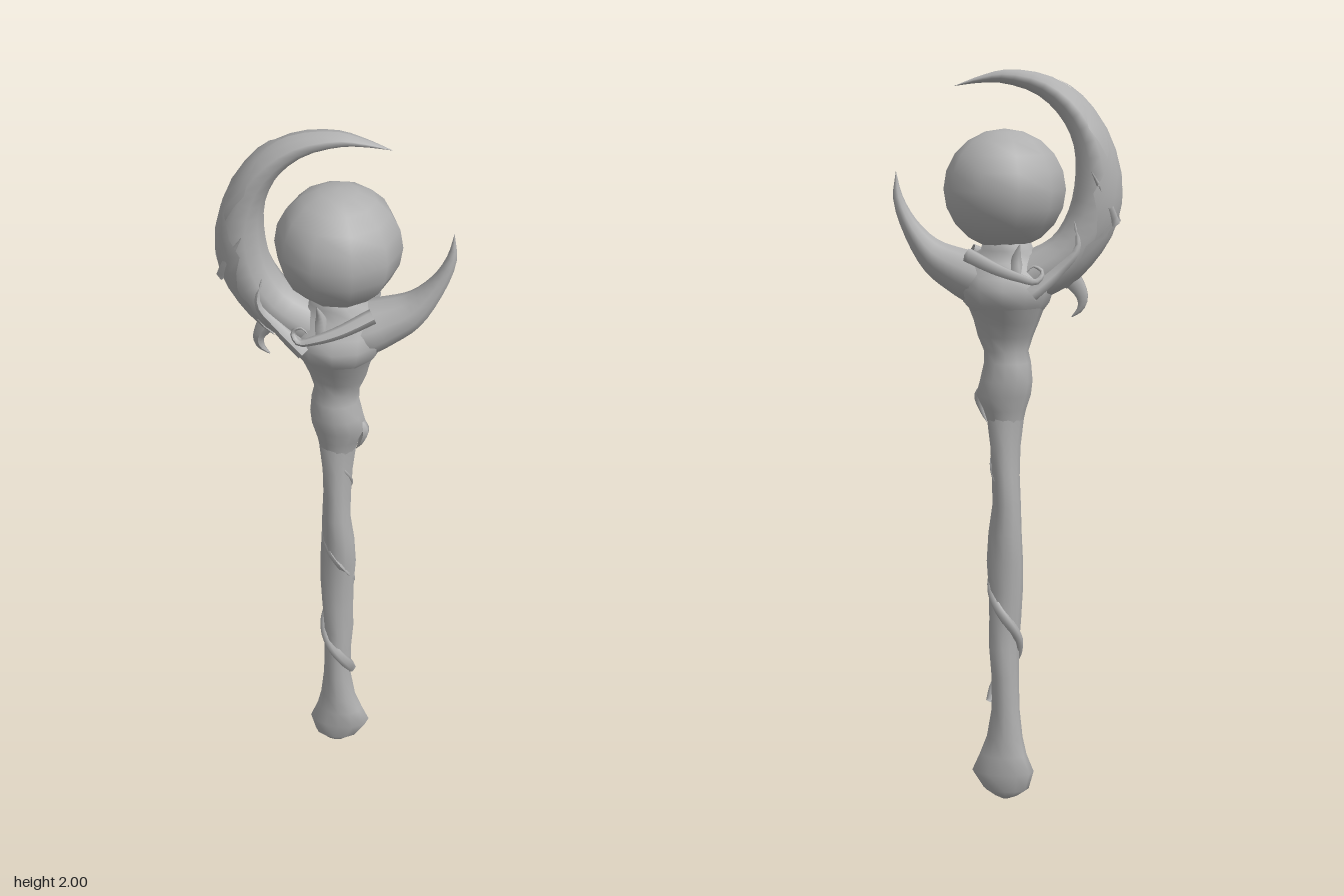
import * as THREE from 'three';

const V = (x, y, z = 0) => new THREE.Vector3(x, y, z);
const grey = new THREE.MeshStandardMaterial({ color: 0xb0b0b0, side: THREE.DoubleSide });
grey.name = 'stone grey';

function gridGeometry(rows, cols, point) {
  const pos = [], idx = [];
  for (let i = 0; i < rows; i++) {
    for (let j = 0; j < cols; j++) pos.push(...point(i, j).toArray());
  }
  for (let i = 0; i < rows - 1; i++) {
    for (let j = 0; j < cols - 1; j++) {
      const a = i * cols + j, b = a + cols;
      idx.push(a, a + 1, b, a + 1, b + 1, b);
    }
  }
  const g = new THREE.BufferGeometry();
  g.setAttribute('position', new THREE.Float32BufferAttribute(pos, 3));
  g.setIndex(idx);
  g.computeVertexNormals();
  return g;
}

// Horn cross-section frames between an outer and an inner edge; third number is half width in z
function hornFrames(outer, inner) {
  const o = new THREE.CatmullRomCurve3(outer.map(p => V(...p)));
  const n = new THREE.CatmullRomCurve3(inner.map(p => V(...p)));
  return t => {
    const a = o.getPoint(t), b = n.getPoint(t), w = Math.max(0, a.z);
    a.z = b.z = 0;
    return { c: a.clone().add(b).multiplyScalar(0.5), u: a.clone().sub(b).multiplyScalar(0.5), w };
  };
}

const onFrame = (f, angle, dir, k = 1) => f.c.clone()
  .addScaledVector(f.u, Math.cos(angle) * k)
  .add(V(0, 0, dir * f.w * Math.sin(angle) * k));

function hornGeometry(frame, dir, rows = 20, sides = 10) {
  return gridGeometry(rows + 1, sides + 1, (i, j) =>
    onFrame(frame(i / rows), (j % sides) / sides * Math.PI * 2, dir));
}

// Open pointed scale wrapped round the outer side of a horn
function scaleGeometry(frame, dir, t0, t1, spread, flare) {
  return gridGeometry(8, 9, (i, j) => {
    const s = i / 7, side = (j - 4) / 4;
    const half = spread * (s < 0.45 ? 0.55 + s : 1.82 * (1 - s));
    const k = 1.06 + flare * Math.abs(side) * Math.sin(s * Math.PI);
    return onFrame(frame(t0 + (t1 - t0) * s), side * half, dir, k);
  });
}

// Tube tapering to a point at its end
function taperedTube(points, radius, segments = 14, sides = 6) {
  const curve = new THREE.CatmullRomCurve3(points.map(p => V(...p)));
  const g = new THREE.TubeGeometry(curve, segments, radius, sides);
  const p = g.attributes.position;
  for (let i = 0; i <= segments; i++) {
    const c = curve.getPointAt(i / segments), k = 1 - 0.95 * (i / segments) ** 1.5;
    for (let j = 0; j <= sides; j++) {
      const n = i * (sides + 1) + j;
      const q = V(p.getX(n), p.getY(n), p.getZ(n)).sub(c).multiplyScalar(k).add(c);
      p.setXYZ(n, q.x, q.y, q.z);
    }
  }
  g.computeVertexNormals();
  return g;
}

export function createModel() {
  const root = new THREE.Group();
  root.name = 'staff';
  const add = (name, geometry) => {
    const m = new THREE.Mesh(geometry, grey);
    m.name = name;
    root.add(m);
    return m;
  };

  // Stack of elliptical rings: y, left x, right x, half depth; twist gives a gnarled surface
  const column = (rings, twist) => gridGeometry(rings.length, 13, (i, j) => {
    const [y, x0, x1, d] = rings[i], a = (j % 12) / 12 * Math.PI * 2;
    const k = 1 + twist * Math.cos(2 * a + y * 11);
    return V((x0 + x1) / 2 + (x1 - x0) / 2 * Math.cos(a) * k, y, -d * Math.sin(a) * k);
  });

  // Gnarled shaft with a knob at the foot
  add('shaft', column([
    [0, -0.004, 0.014, 0.008], [0.012, -0.03, 0.035, 0.03], [0.03, -0.056, 0.062, 0.042],
    [0.08, -0.07, 0.094, 0.05], [0.13, -0.053, 0.075, 0.047], [0.18, -0.044, 0.058, 0.044],
    [0.26, -0.037, 0.046, 0.04], [0.36, -0.034, 0.046, 0.04], [0.44, -0.032, 0.05, 0.046],
    [0.52, -0.036, 0.047, 0.042], [0.6, -0.04, 0.048, 0.047], [0.68, -0.042, 0.055, 0.043],
    [0.76, -0.041, 0.053, 0.048], [0.84, -0.04, 0.043, 0.044], [0.92, -0.036, 0.044, 0.047],
    [1.0, -0.036, 0.046, 0.043], [1.08, -0.043, 0.053, 0.045]], 0.07));

  // Swollen upper grip flaring into the head
  add('neck', column([
    [1.06, -0.04, 0.05, 0.042], [1.1, -0.048, 0.062, 0.048], [1.14, -0.06, 0.08, 0.062],
    [1.18, -0.065, 0.07, 0.066], [1.23, -0.062, 0.06, 0.063], [1.26, -0.056, 0.062, 0.05],
    [1.3, -0.07, 0.08, 0.062], [1.34, -0.088, 0.092, 0.078], [1.38, -0.105, 0.11, 0.1]], 0.05));

  // Collar and cup under the orb
  add('collar', column([
    [1.36, -0.09, 0.09, 0.085], [1.39, -0.112, 0.118, 0.11], [1.43, -0.125, 0.13, 0.12],
    [1.46, -0.125, 0.13, 0.1], [1.5, -0.1, 0.12, 0.078], [1.53, -0.07, 0.07, 0.07],
    [1.57, -0.055, 0.06, 0.07], [1.58, 0, 0.01, 0.005]], 0));

  // Vine winding up the shaft
  const vine = [];
  for (let i = 0; i <= 24; i++) {
    const a = i * 0.65;
    vine.push([0.006 + 0.036 * Math.cos(a), 0.28 + i * 0.035, 0.036 * Math.sin(a)]);
  }
  add('vine', taperedTube(vine, 0.017, 80));
  add('shaftThorn', taperedTube([[0.03, 1.17, 0], [0.075, 1.14, 0.01], [0.07, 1.1, 0.01], [0.055, 1.065, 0]], 0.02));

  // Orb
  const orb = add('orb', new THREE.SphereGeometry(0.162, 10, 10));
  orb.scale.set(1, 0.975, 1);
  orb.position.set(0.007, 1.688, 0);

  // Large crescent horn curling over the orb
  const big = hornFrames([
    [-0.05, 1.39, 0.08], [-0.14, 1.42, 0.078], [-0.22, 1.49, 0.072], [-0.28, 1.585, 0.066],
    [-0.3, 1.7, 0.066], [-0.265, 1.83, 0.064], [-0.2, 1.925, 0.058], [-0.11, 1.982, 0.046],
    [0, 1.998, 0.029], [0.07, 1.982, 0.015], [0.14, 1.955, 0]],
  [[0.0, 1.5], [-0.06, 1.53], [-0.12, 1.565], [-0.16, 1.63], [-0.178, 1.71], [-0.175, 1.8],
    [-0.14, 1.875], [-0.075, 1.935], [0.015, 1.963], [0.075, 1.963], [0.14, 1.955]]);
  add('largeHorn', hornGeometry(big, -1, 26));

  // Overlapping scales along the back of the large horn
  [[0.12, 0.4, 1.3, 0.1], [0.24, 0.56, 1.7, 0.2], [0.42, 0.68, 1.4, 0.12]].forEach(([a, b, s, f], i) =>
    add('hornScale' + (i + 1), scaleGeometry(big, -1, a, b, s, f)));

  // Small horn on the other side
  const small = hornFrames([
    [0.02, 1.375, 0.085], [0.1, 1.385, 0.08], [0.16, 1.42, 0.066], [0.22, 1.47, 0.053],
    [0.272, 1.56, 0.033], [0.303, 1.66, 0.015], [0.295, 1.735, 0]],
  [[0.0, 1.5], [0.07, 1.52], [0.13, 1.535], [0.185, 1.555], [0.24, 1.605], [0.278, 1.67], [0.295, 1.735]]);
  add('smallHorn', hornGeometry(small, 1, 18));

  // Hooked barb below the large horn
  add('barb', taperedTube([[-0.13, 1.5, 0], [-0.175, 1.45, 0], [-0.2, 1.405, 0], [-0.195, 1.375, 0], [-0.172, 1.352, 0]], 0.034));

  for (const s of [1, -1]) {
    const side = s > 0 ? 'front' : 'back';
    // Curled ornament on the collar
    add(side + 'Curl', taperedTube([[0.1, 1.52, 0.06 * s], [0.02, 1.485, 0.088 * s], [-0.04, 1.465, 0.1 * s],
      [-0.085, 1.455, 0.1 * s], [-0.1, 1.48, 0.09 * s], [-0.075, 1.495, 0.095 * s], [-0.06, 1.48, 0.1 * s]], 0.02, 24));
    // Claw hugging the foot of the orb
    add(side + 'Claw', taperedTube([[-0.03, 1.46, 0.07 * s], [-0.03, 1.51, 0.07 * s], [-0.04, 1.55, 0.08 * s]], 0.022, 8));
    // Blade at the side of the large horn
    add(side + 'Blade', taperedTube([[-0.285, 1.6, 0.035 * s], [-0.265, 1.66, 0.06 * s], [-0.225, 1.74, 0.086 * s]], 0.014, 8, 4));
    // Strand from the collar up the root of the large horn
    add(side + 'Strand', taperedTube([[-0.07, 1.42, 0.09 * s], [-0.14, 1.48, 0.07 * s], [-0.19, 1.54, 0.065 * s],
      [-0.18, 1.61, 0.058 * s]], 0.022, 12));
  }
  return root;
}
